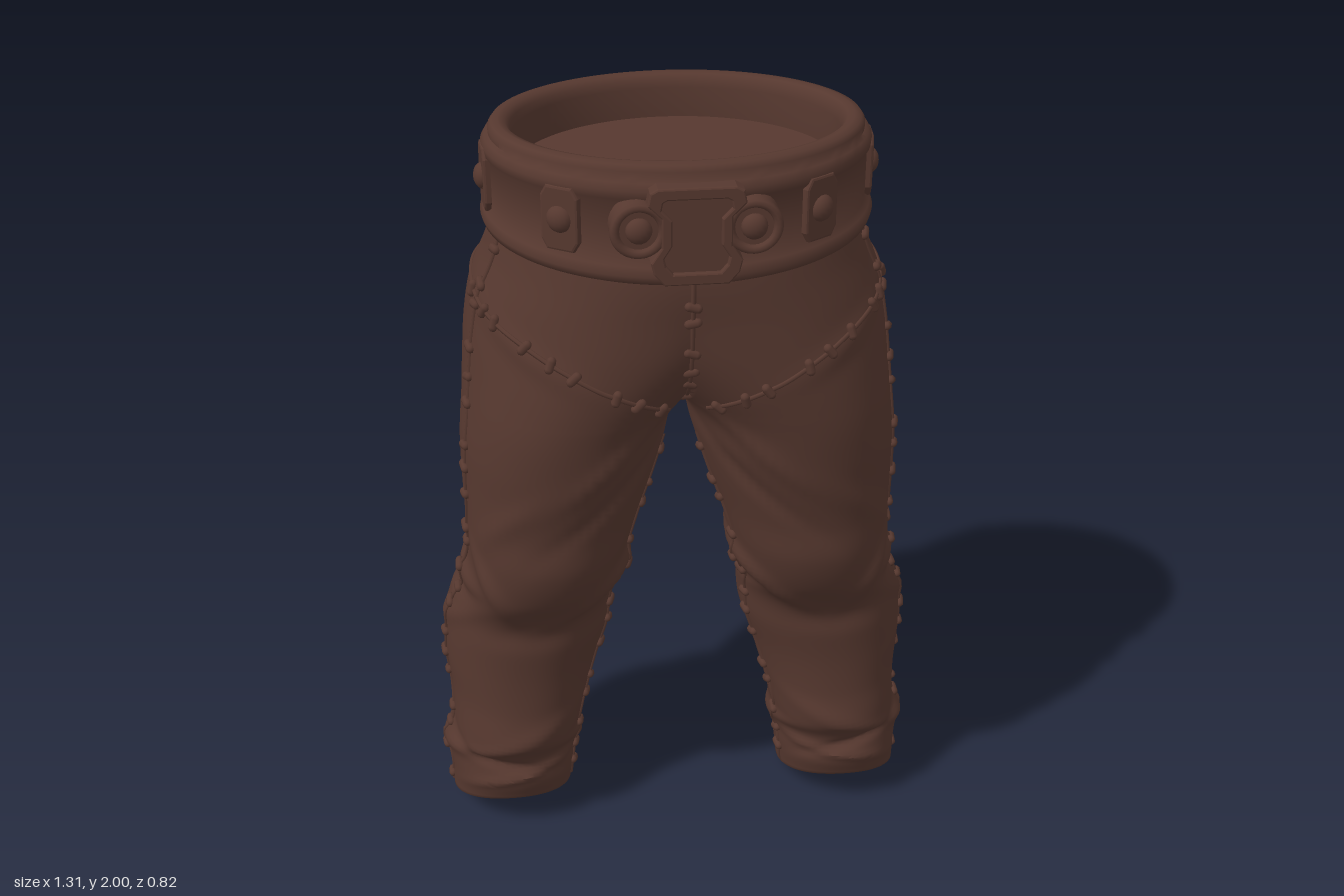
import * as THREE from 'three';
import { mergeGeometries, mergeVertices, toCreasedNormals } from 'three/addons/utils/BufferGeometryUtils.js';

const leather = new THREE.MeshStandardMaterial({ color: 0x56382f });
leather.name = 'brownLeather';

// Leg sections every 0.1 in height: outer x, inner x, front z, back z
const SECTIONS = [
  [.63, .30, .13, -.24], [.628, .29, .15, -.25], [.635, .28, .14, -.268], [.615, .265, .168, -.262],
  [.615, .24, .155, -.28], [.625, .21, .152, -.31], [.62, .18, .16, -.308], [.597, .17, .175, -.28],
  [.56, .15, .24, -.253], [.545, .13, .275, -.235], [.548, .10, .28, -.245], [.55, .065, .295, -.285],
  [.548, .035, .312, -.31], [.538, .003, .325, -.345], [.53, -.10, .335, -.398], [.52, -.22, .338, -.413],
  [.50, -.32, .338, -.405], [.46, -.41, .342, -.375], [.435, -.435, .335, -.335],
];
const TOP = 1.8;

// Cloth folds: angle, height, slope, thickness, angular spread, size
const FOLDS = [
  [.85, .82, -.2, .035, .45, .016], [2.2, .77, .15, .032, .5, .016], [1.5, .66, 0, .04, .45, -.01],
  [2.9, .85, .06, .028, .5, .016], [.1, .81, -.05, .028, .5, .014], [.1, .74, .05, .022, .5, -.01],
  [.2, .64, .12, .03, .6, .01], [2.9, .74, -.06, .022, .5, -.01], [-1.5, .93, .05, .03, .9, -.006],
  [-1.4, .79, -.06, .025, .9, .01], [1.5, .30, .08, .03, .8, .01], [1.3, .20, -.07, .022, .9, -.014],
  [1.8, .14, .05, .02, .9, .012], [.2, .21, .04, .03, .7, .014], [3.0, .22, -.05, .03, .7, .014],
  [-1.5, .24, .06, .03, .9, .01], [-1.4, .14, -.04, .025, .9, -.01], [2.2, 1.14, .22, .03, .6, -.012],
  [2.0, 1.24, .26, .03, .5, .01], [1.0, 1.05, .20, .04, .5, .008], [.9, 1.52, -.14, .03, .5, .008],
  [-1.8, 1.22, -.10, .035, .6, -.006],
];

// Slightly squared ellipse
const SQUARE = 0.93;
const squared = (v) => Math.sign(v) * Math.abs(v) ** SQUARE;

// Smooth interpolation of the section table
function section(y) {
  const f = THREE.MathUtils.clamp(y / 0.1, 0, SECTIONS.length - 1);
  const k = Math.min(Math.floor(f), SECTIONS.length - 2), t = f - k;
  const at = (i) => SECTIONS[THREE.MathUtils.clamp(i, 0, SECTIONS.length - 1)];
  const [xo, xi, zf, zb] = [0, 1, 2, 3].map((c) => {
    const a = at(k - 1)[c], b = at(k)[c], d = at(k + 1)[c], e = at(k + 2)[c];
    return b + 0.5 * t * (d - a + t * (2 * a - 5 * b + 4 * d - e + t * (3 * (b - d) + e - a)));
  });
  const cx = (xo + xi) / 2, rx = (xo - xi) / 2;
  // angle at which the section meets the middle plane
  const seam = Math.acos(-Math.min(Math.max(cx / rx, 0) ** (1 / SQUARE), 0.86));
  return { cx, rx, cz: (zf + zb) / 2, rz: (zf - zb) / 2, seam };
}

// Point on the trouser surface; inset moves it inwards
function surface(side, a, y, inset = 0) {
  const s = section(y);
  const x = s.cx + Math.max(0, s.rx - inset) * squared(Math.cos(a));
  const z = s.cz + Math.max(0, s.rz - inset) * squared(Math.sin(a));
  let d = 0;
  if (inset < 0.1) for (const [a0, y0, slope, w, spread, size] of FOLDS) {
    const da = Math.atan2(Math.sin(a - a0), Math.cos(a - a0));
    d += size * Math.exp(-(((y - y0 - slope * da) / w) ** 2) - (da / spread) ** 2);
  }
  d *= THREE.MathUtils.clamp(x / 0.1, 0, 1);
  const slant = inset < 0.1 ? Math.sin(a) : 0;
  const lift = 0.1 * ((1 + slant) / 2) ** 1.5 * Math.max(0, 1 - y / 0.3);
  return new THREE.Vector3(side * Math.max(0, x + d * Math.cos(a)), y + lift, z + d * Math.sin(a));
}

// Closed rings joined into a skin
function loft(rows, cols, point, flip = false) {
  const pos = [], idx = [];
  for (let j = 0; j < rows; j++) for (let i = 0; i < cols; i++) pos.push(...point(j, i).toArray());
  for (let j = 0; j < rows - 1; j++) for (let i = 0; i < cols; i++) {
    const n = (i + 1) % cols, a = j * cols + i, b = j * cols + n, c = a + cols, d = b + cols;
    idx.push(...(flip ? [a, b, c, b, d, c] : [a, c, b, b, c, d]));
  }
  const g = new THREE.BufferGeometry();
  g.setAttribute('position', new THREE.Float32BufferAttribute(pos, 3));
  g.setIndex(idx);
  return toCreasedNormals(mergeVertices(g, 1e-5), 1.0);
}

function add(parent, geometry, name, x = 0, y = 0, z = 0) {
  const m = new THREE.Mesh(geometry, leather);
  m.name = name;
  m.position.set(x, y, z);
  parent.add(m);
  return m;
}

// One leg with its half of the hips, from the closed inside of the cuff to the waist
function legGeometry(side) {
  const OUT = 60, IN = 20, RINGS = 130;
  const cuff = [[.25, .05], [.04, .05], [.035, .02], [.022, .004], [.008, 0]];
  return loft(cuff.length + RINGS, OUT + IN, (j, i) => {
    const [inset, y] = cuff[j] || [0, 0.012 + (TOP - 0.012) * (j - cuff.length) / (RINGS - 1)];
    const m = section(y).seam;
    const a = i < OUT ? -m + 2 * m * i / OUT : m + (2 * Math.PI - 2 * m) * (i - OUT) / IN;
    return surface(side, a, y, inset);
  }, side < 0);
}

// Raised seam with stitches crossing it, starting at a fraction of its length; path is a list of (angle, height)
function addSeam(parent, name, side, path, { centre = false, from = 0, gap = 0.085 } = {}) {
  const spline = new THREE.SplineCurve(path.map((p) => new THREE.Vector2(...p)));
  const N = 60, pts = [], normals = [];
  for (let i = 0; i <= N; i++) {
    const { x, y } = spline.getPoint(i / N);
    const a = centre ? Math.sign(x) * section(y).seam : x;
    const da = surface(side, a + 0.03, y).sub(surface(side, a - 0.03, y));
    const dy = surface(side, a, y + 0.02).sub(surface(side, a, y - 0.02));
    pts.push(surface(side, a, y));
    normals.push(centre ? new THREE.Vector3(0, 0, Math.sign(x)) : dy.cross(da).multiplyScalar(side).normalize());
  }
  const curve = new THREE.CatmullRomCurve3(pts);
  add(parent, new THREE.TubeGeometry(curve, 90, 0.006, 6), name);
  const count = Math.round(curve.getLength() * (1 - from) / gap), stitches = [];
  for (let k = 0; k < count; k++) {
    const u = from + (1 - from) * (k + 0.5 + 0.2 * Math.sin(k * 2.3)) / count, t = curve.getUtoTmapping(u);
    const n = normals[Math.round(t * N)], tan = curve.getTangentAt(u);
    const across = n.clone().cross(tan).addScaledVector(tan, k % 2 ? 0.3 : -0.2).normalize();
    const q = new THREE.Quaternion().setFromUnitVectors(new THREE.Vector3(0, 1, 0), across);
    const p = curve.getPointAt(u).addScaledVector(n, 0.003);
    stitches.push(new THREE.CapsuleGeometry(0.0115, 0.02, 3, 8)
      .applyMatrix4(new THREE.Matrix4().compose(p, q, new THREE.Vector3(1, 1, 1))));
  }
  add(parent, mergeGeometries(stitches), name + 'Stitches');
}

// Belt outline at an offset; it hangs lower at the front
const BELT_X = 0.435, BELT_Z = 0.345;
function beltPoint(a, off, y) {
  const z = (BELT_Z + off) * Math.sin(a);
  return new THREE.Vector3((BELT_X + off) * Math.cos(a), y - 0.12 * z * (2 - y) / 0.25, z + 0.01);
}

function addBelt(parent) {
  const profile = [[-.03, 1.765], [.01, 1.762], [.026, 1.77], [.031, 1.785], [.024, 1.802], [.012, 1.812], [.012, 1.925],
    [.02, 1.935], [.022, 1.952], [.014, 1.966], [.004, 1.972], [.004, 1.985], [-.004, 1.996], [-.02, 2],
    [-.036, 1.996], [-.046, 1.982], [-.05, 1.96], [-.05, 1.875], [-BELT_Z, 1.875]];
  add(parent, loft(profile.length, 96, (j, i) => beltPoint(i / 96 * 2 * Math.PI, ...profile[j])), 'belt');

  // Studded belt loops around the waist
  for (const a of [0.87, Math.PI - 0.87, 0.07, Math.PI - 0.07, -0.76, Math.PI + 0.76, -1.8]) {
    const loop = new THREE.Group();
    loop.name = 'beltLoop';
    loop.position.copy(beltPoint(a, 0.014, 1.878));
    loop.rotation.y = Math.atan2(Math.cos(a) / BELT_X, Math.sin(a) / BELT_Z);
    const plate = new THREE.Shape();
    [[-.03, -.07], [.03, -.07], [.042, -.05], [.042, .05], [.03, .07], [-.03, .07], [-.042, .05], [-.042, -.05]]
      .forEach(([x, y], i) => (i ? plate.lineTo(x, y) : plate.moveTo(x, y)));
    add(loop, new THREE.ExtrudeGeometry(plate, { depth: 0.02, bevelSize: 0.006, bevelThickness: 0.006, bevelSegments: 2 }),
      'loopPlate', 0, 0, -0.015);
    add(loop, new THREE.SphereGeometry(0.032, 16, 10), 'loopStud', 0, 0, 0.006).scale.z = 0.75;
    parent.add(loop);
  }
}

function addBuckle(parent) {
  const buckle = new THREE.Group();
  buckle.name = 'buckle';
  buckle.position.set(0, 1.85, 0.345);
  const right = [[.07, -.11], [.092, -.085], [.098, -.06], [.075, -.025], [.075, .045], [.105, .075], [.1, .1], [.085, .108]];
  const outline = [...right, ...right.map(([x, y]) => [-x, y]).reverse()].map((p) => new THREE.Vector2(...p));
  const frame = new THREE.Shape(outline);
  frame.holes.push(new THREE.Path(outline.map((p) => new THREE.Vector2(p.x * 0.78, p.y * 0.82)).reverse()));
  add(buckle, new THREE.ExtrudeGeometry(frame, { depth: 0.052, bevelSize: 0.004, bevelThickness: 0.006, bevelSegments: 2 }), 'buckleFrame');
  add(buckle, new THREE.ExtrudeGeometry(new THREE.Shape(outline), { depth: 0.045, bevelEnabled: false }), 'bucklePlate');
  // Round studded ends
  for (const s of [-1, 1]) {
    add(buckle, new THREE.CylinderGeometry(0.06, 0.064, 0.05, 28).rotateX(Math.PI / 2), 'buckleEnd', s * 0.127, 0.015, 0.02);
    add(buckle, new THREE.TorusGeometry(0.054, 0.011, 8, 28), 'buckleEndRim', s * 0.127, 0.015, 0.045);
    add(buckle, new THREE.SphereGeometry(0.03, 16, 10), 'buckleStud', s * 0.127, 0.015, 0.045).scale.z = 0.7;
  }
  parent.add(buckle);
}

export function createModel() {
  const trousers = new THREE.Group();
  trousers.name = 'trousers';
  for (const side of [1, -1]) {
    const leg = new THREE.Group();
    leg.name = side > 0 ? 'leftLeg' : 'rightLeg';
    add(leg, legGeometry(side), 'legCloth');
    addSeam(leg, 'outerSeam', side, [[.3, 1.76], [.32, 1.5], [.33, 1.2], [.28, 1.05], [.1, .85], [.2, .7], [.18, .55], [.06, .4], [.05, .2], [.03, .02]]);
    addSeam(leg, 'innerSeam', side, [[2.9, 1.2], [2.85, .9], [2.8, .6], [2.85, .3], [2.95, .03]]);
    addSeam(leg, 'thighSeam', side, [[-.4, 1.62], [0, 1.615], [.36, 1.59], [.8, 1.55], [1.17, 1.5], [1.7, 1.42], [2.3, 1.35]],
      { from: 0.22 });
    trousers.add(leg);
  }
  addSeam(trousers, 'frontSeam', 1, [[1, 1.76], [1, 1.6], [1, 1.36]], { centre: true, gap: 0.065 });
  addSeam(trousers, 'backSeam', 1, [[-1, 1.78], [-1, 1.6], [-1, 1.4]], { centre: true, gap: 0.065 });
  addBelt(trousers);
  addBuckle(trousers);
  return trousers;
}
